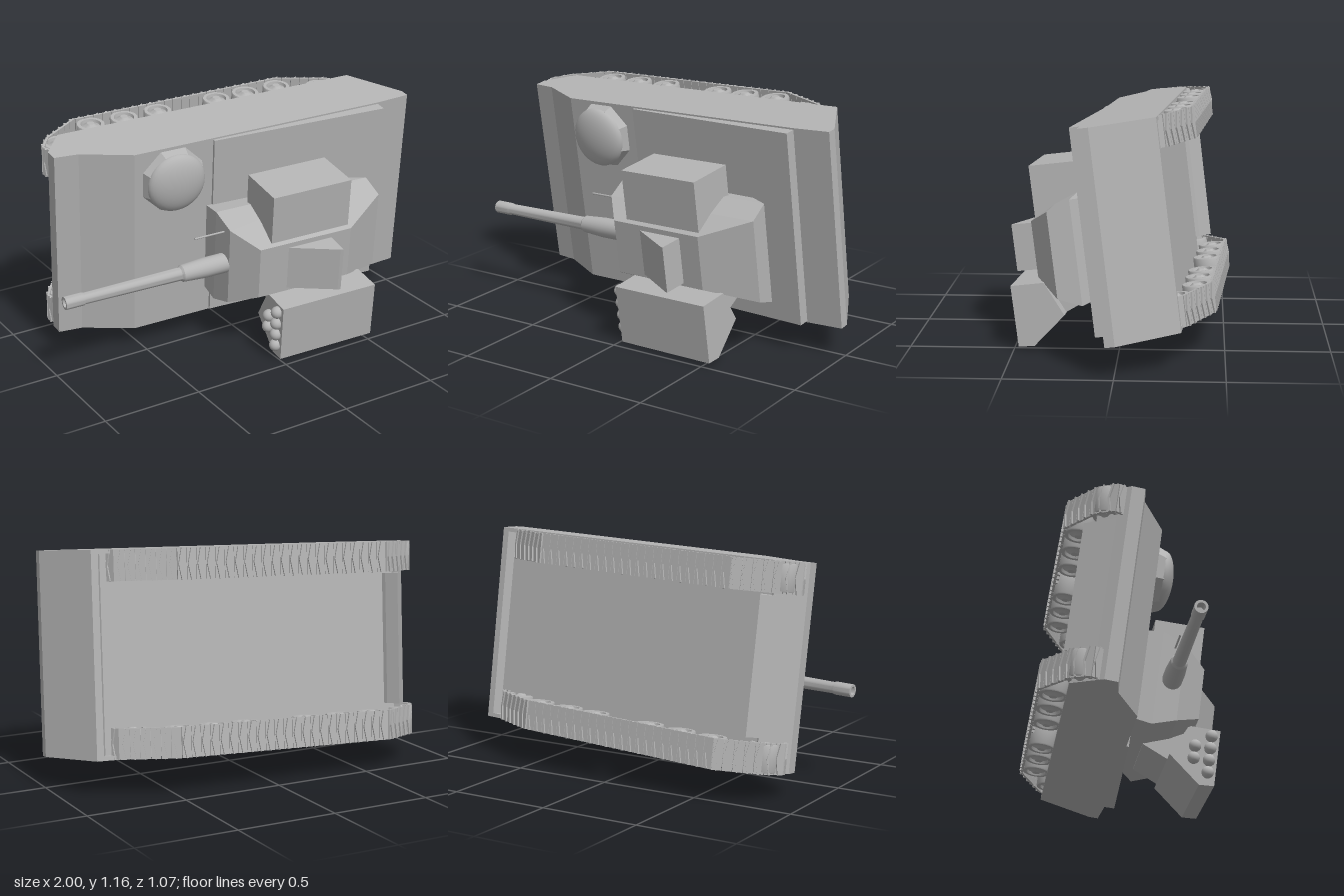
import * as THREE from 'three';
import { mergeGeometries, toCreasedNormals } from 'three/addons/utils/BufferGeometryUtils.js';

// Working frame: +x is the vehicle's rear, y runs across it, +z is its up.
const MID = 0.611, HALF = 0.49, TURRET_Y = 0.505;

export function createModel() {
  const armour = new THREE.MeshStandardMaterial({ color: 0xb4b4b4 });
  const tank = new THREE.Group();
  tank.name = 'armouredVehicle';

  const add = (name, geo, x = 0, y = 0, z = 0, parent = tank) => {
    const m = new THREE.Mesh(geo, armour);
    m.name = name;
    m.position.set(x, y, z);
    parent.add(m);
    return m;
  };
  const shape = (pts) => new THREE.Shape(pts.map((p) => new THREE.Vector2(p[0], p[1])));
  // Side profile (x, z) extruded across y0..y1
  const across = (pts, y0, y1) =>
    new THREE.ExtrudeGeometry(shape(pts), { depth: y1 - y0, bevelEnabled: false })
      .rotateX(Math.PI / 2).translate(0, y1, 0);
  // End profile (y, z) extruded along x0..x1
  const along = (pts, x0, x1) => {
    const g = new THREE.ExtrudeGeometry(shape(pts), { depth: x1 - x0, bevelEnabled: false });
    g.applyMatrix4(new THREE.Matrix4().makeBasis(
      new THREE.Vector3(0, 1, 0), new THREE.Vector3(0, 0, 1), new THREE.Vector3(1, 0, 0)));
    return g.translate(x0, 0, 0);
  };
  // Profile points (radius, height) listed from bottom to top
  const lathe = (pts, n) => toCreasedNormals(
    new THREE.LatheGeometry(pts.map((p) => new THREE.Vector2(p[0], p[1])), n), 0.6);

  // Hull core with a recessed belly, closed by full-height side plates
  const upper = [[-0.89, -0.23], [-0.885, -0.167], [-0.768, -0.153], [-0.534, -0.036],
    [0.81, -0.036], [0.998, -0.048], [0.998, -0.095], [0.839, -0.377]];
  add('hull', across([...upper, [0.805, -0.377], [0.785, -0.34], [-0.77, -0.34], [-0.79, -0.365]],
    MID - HALF + 0.02, MID + HALF - 0.02));
  const skirt = [...upper, [-0.783, -0.375]];
  add('sidePlate', across(skirt, MID - HALF, MID - HALF + 0.02));
  add('sidePlate', across(skirt, MID + HALF - 0.02, MID + HALF));

  // Lower bow wedge between the tracks
  add('bowPlate', across([[-0.888, -0.23], [-0.7, -0.3], [-0.72, -0.36], [-0.755, -0.42]],
    0.285, 0.94));
  // Raised engine deck, rising slightly to the rear
  add('rearDeck', across([[-0.12, -0.04], [-0.12, -0.022], [0.814, 0.02], [0.814, -0.04]],
    MID - HALF + 0.008, MID + HALF - 0.008));

  // Domed cupola on the front deck
  const cupola = new THREE.Group();
  cupola.name = 'cupola';
  cupola.position.set(-0.335, 0.93, -0.04);
  tank.add(cupola);
  add('cupolaRing', toCreasedNormals(new THREE.CylinderGeometry(0.15, 0.17, 0.05, 8), 0.3)
    .rotateX(Math.PI / 2).rotateZ(Math.PI / 8), 0, 0, 0.025, cupola);
  add('cupolaDome', new THREE.SphereGeometry(0.15, 32, 10, 0, Math.PI * 2, 0, Math.PI / 2)
    .scale(1, 0.4, 1).rotateX(Math.PI / 2), 0, 0, 0.045, cupola);

  // Turret: four-cornered rings [frontX, frontZ, rearX, rearZ, halfWidth] stacked upwards
  const rings = [[-0.15, -0.03, 0.56, -0.01, 0.235], [-0.15, 0.07, 0.7, 0.08, 0.25],
    [-0.135, 0.19, 0.71, 0.19, 0.205], [-0.03, 0.31, 0.475, 0.315, 0.135]];
  const pos = [], idx = [];
  for (const [fx, fz, rx, rz, w] of rings)
    pos.push(fx, -w, fz, rx, -w, rz, rx, w, rz, fx, w, fz);
  for (let r = 0; r < rings.length - 1; r++)
    for (let k = 0; k < 4; k++) {
      const a = r * 4 + k, b = r * 4 + (k + 1) % 4;
      idx.push(a, b, b + 4, a, b + 4, a + 4);
    }
  idx.push(12, 13, 14, 12, 14, 15, 0, 2, 1, 0, 3, 2);
  let turretGeo = new THREE.BufferGeometry();
  turretGeo.setAttribute('position', new THREE.Float32BufferAttribute(pos, 3));
  turretGeo.setIndex(idx);
  turretGeo = turretGeo.toNonIndexed();
  turretGeo.computeVertexNormals();
  add('turret', turretGeo, 0, TURRET_Y, 0);

  // Sight wedge on the turret roof
  add('roofSight', across([[0.105, 0.3], [0.365, 0.3], [0.36, 0.437], [0.345, 0.432]], 0.385, 0.615));

  // Equipment box on one side of the turret
  add('sideBox', new THREE.BoxGeometry(0.43, 0.25, 0.255), 0.253, 0.777, 0.167);

  // Launcher pod on the other side, with rounded tube ends
  add('launcherPod', along([[0.354, 0.435], [0.355, 0.275], [0.19, 0.195], [0.055, 0.357],
    [0.06, 0.433]], 0.04, 0.565));
  add('podBracket', along([[0.36, 0.29], [0.19, 0.2], [0.25, 0.065], [0.4, 0.065]], 0.12, 0.5));
  for (let i = 0; i < 4; i++)
    for (const z of i === 0 || i === 3 ? [0.392] : [0.392, 0.315])
      add('launchTube', new THREE.SphereGeometry(0.031, 16, 10), 0.03, 0.315 - i * 0.064, z);

  // Main gun, hollow at the muzzle, thicker towards the turret
  add('gunBarrel', lathe([[0, 0.05], [0.02, 0.05], [0.02, 0], [0.032, 0], [0.032, 0.09], [0.028, 0.1],
    [0.033, 0.6], [0.042, 0.61], [0.05, 0.73], [0.05, 0.88], [0, 0.88]], 24)
    .rotateZ(-Math.PI / 2), -0.978, TURRET_Y, 0.143);
  add('machineGun', new THREE.CylinderGeometry(0.005, 0.005, 0.17, 8).rotateZ(Math.PI / 2),
    -0.215, 0.68, 0.14);

  // Running gear, one set on each side
  const wheelGeo = lathe([[0, -0.07], [0.018, -0.07], [0.028, -0.06], [0.046, -0.052], [0.05, -0.066],
    [0.067, -0.066], [0.07, -0.06], [0.07, 0.06], [0.067, 0.066], [0.05, 0.066], [0.046, 0.052],
    [0.028, 0.06], [0.018, 0.07], [0, 0.07]], 24);
  const loop = [[-0.89, -0.29], [-0.835, -0.375], [-0.65, -0.5], [0.48, -0.503], [0.73, -0.39],
    [0.75, -0.355], [0.72, -0.315], [-0.78, -0.25], [-0.865, -0.245]];
  const path = new THREE.CurvePath();
  loop.forEach((p, i) => {
    const q = loop[(i + 1) % loop.length];
    path.add(new THREE.LineCurve3(new THREE.Vector3(p[0], 0, p[1]), new THREE.Vector3(q[0], 0, q[1])));
  });
  // One link: shoe plate, outer grouser bars set in a shallow V, and an inner guide tooth
  const link = mergeGeometries([
    new THREE.BoxGeometry(0.046, 0.146, 0.012),
    new THREE.BoxGeometry(0.009, 0.076, 0.012).rotateZ(0.2).translate(0.008, 0.036, -0.008),
    new THREE.BoxGeometry(0.009, 0.076, 0.012).rotateZ(-0.2).translate(0.008, -0.036, -0.008),
    new THREE.BoxGeometry(0.016, 0.014, 0.02).translate(0, 0, 0.012),
  ]);
  const count = Math.round(path.getLength() / 0.048);
  const links = [];
  for (let i = 0; i < count; i++) {
    const t = (i + 0.5) / count, p = path.getPoint(t), d = path.getTangent(t);
    links.push(link.clone().rotateY(Math.atan2(-d.z, d.x)).translate(p.x, 0, p.z));
  }
  const trackGeo = mergeGeometries(links);
  for (const side of [-1, 1]) {
    const gear = new THREE.Group();
    gear.name = 'runningGear';
    gear.position.y = MID + side * 0.415;
    tank.add(gear);
    add('track', trackGeo, 0, 0, 0, gear);
    for (const x of [-0.585, -0.408, -0.225, 0.102, 0.268, 0.449])
      add('roadWheel', wheelGeo, x, 0, -0.432, gear);
    add('idlerWheel', wheelGeo, -0.805, 0, -0.32, gear);
    add('driveWheel', wheelGeo, 0.65, 0, -0.345, gear);
  }

  // The whole vehicle lies tipped on its side
  const rear = new THREE.Vector3(0.997, 0.029, 0.073).normalize();
  const up = rear.clone().cross(new THREE.Vector3(-0.038, 0.992, 0.12)).normalize();
  const sideways = up.clone().cross(rear);
  tank.quaternion.setFromRotationMatrix(new THREE.Matrix4().makeBasis(rear, sideways, up));
  const model = new THREE.Group();
  model.name = 'model';
  model.add(tank);
  return model;
}
